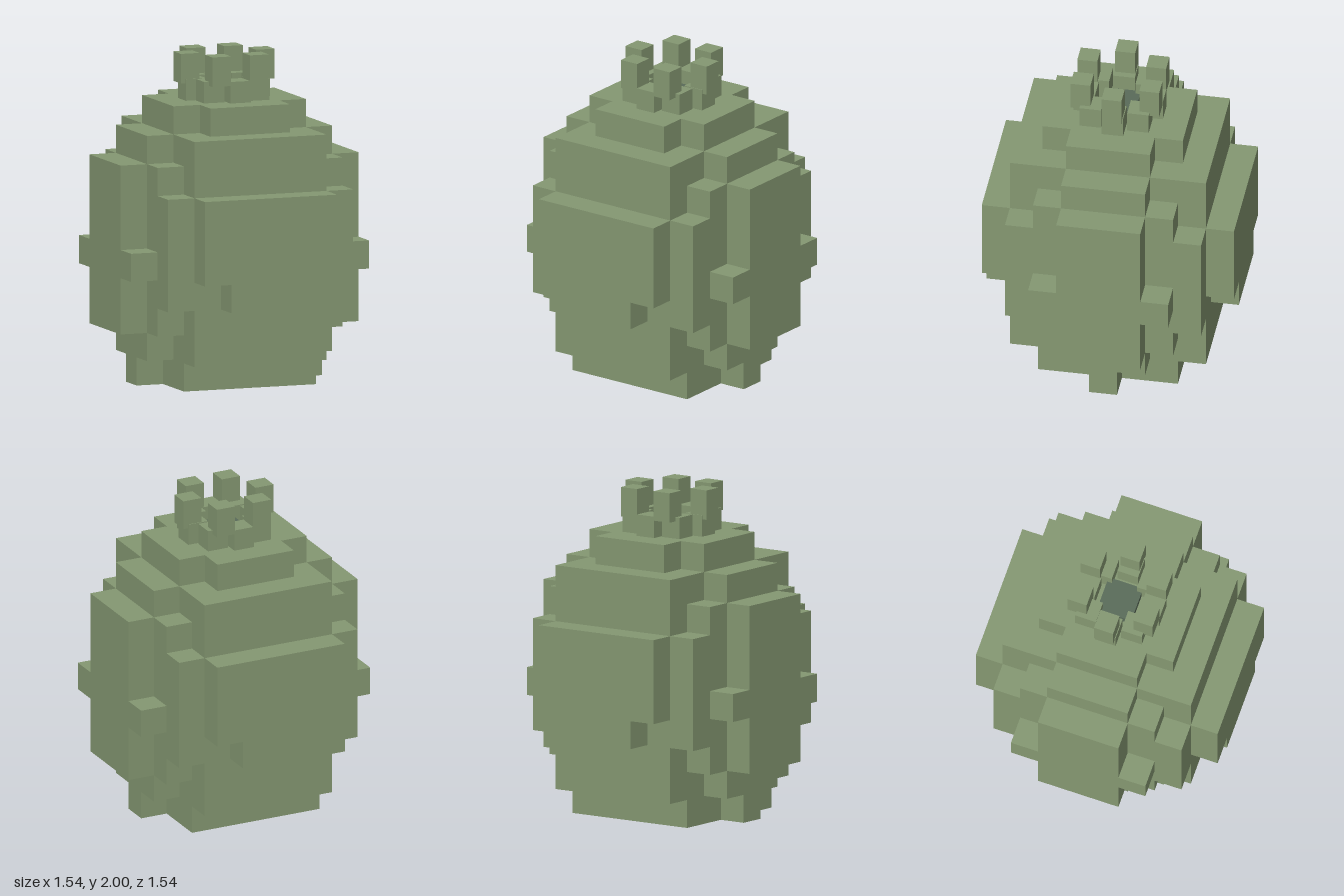
import * as THREE from 'three';

export function createModel() {
  const model = new THREE.Group();
  const olive = new THREE.MeshStandardMaterial({ color: 0x859872 });
  olive.name = 'olive green';
  const dark = new THREE.MeshStandardMaterial({ color: 0x596b59 });
  dark.name = 'dark green';

  const U = 2 / 11.67; // one block of the body

  function box(name, w, h, d, x, y, z, material = olive, parent = model) {
    const mesh = new THREE.Mesh(new THREE.BoxGeometry(w, h, d), material);
    mesh.name = name;
    mesh.position.set(x, y + h / 2, z);
    parent.add(mesh);
    return mesh;
  }

  // Body block centred on the axis: width and depth in blocks, between two block rows
  function block(name, w, d, from, to, x = 0, z = 0) {
    return box(name, w * U, (to - from) * U, d * U, x * U, from * U, z * U);
  }

  // Stepped body, from the base to the shoulders
  block('base', 5, 5, 0, 1);
  block('baseFeet', 7, 1, 0, 1);
  block('lowerSideStep', 7, 3, 1, 2);
  block('body', 5, 7, 1, 9);
  block('sideBody', 7, 5, 2, 8);
  block('cornerBody', 7, 7, 3, 7);
  block('shoulder', 7, 3, 8, 9);
  block('topWide', 5, 3, 9, 10);
  block('topDeep', 3, 5, 9, 10);

  // Raised plates on the four sides
  for (const s of [-1, 1]) {
    block('facePlate', 5, 1, 4, 7, 0, 4 * s);
    block('facePlateTip', 3, 1, 3, 4, 0, 4 * s);
    block('sidePlate', 1, 3, 2, 8, 4 * s, 0);
    block('sidePlateKnobs', 1, 5, 4, 5, 4 * s, 0);
  }

  // Crown: dark centre, ring of eight low leaves, six tall leaf tips
  const crown = new THREE.Group();
  crown.name = 'crown';
  model.add(crown);
  const top = 10 * U;
  box('crownCentre', 0.22, 0.06, 0.22, 0, top, 0, dark, crown);
  for (let i = 0; i < 8; i++) {
    const a = (i * Math.PI) / 4;
    box('lowLeaf', 0.132, 0.131, 0.132, Math.cos(a) * 0.207, top, Math.sin(a) * 0.207, olive, crown);
  }
  for (let i = 0; i < 6; i++) {
    const a = (i * Math.PI) / 3;
    box('leafTip', 0.122, 0.18, 0.122, Math.cos(a) * 0.243, 1.82, Math.sin(a) * 0.243, olive, crown);
  }
  return model;
}
